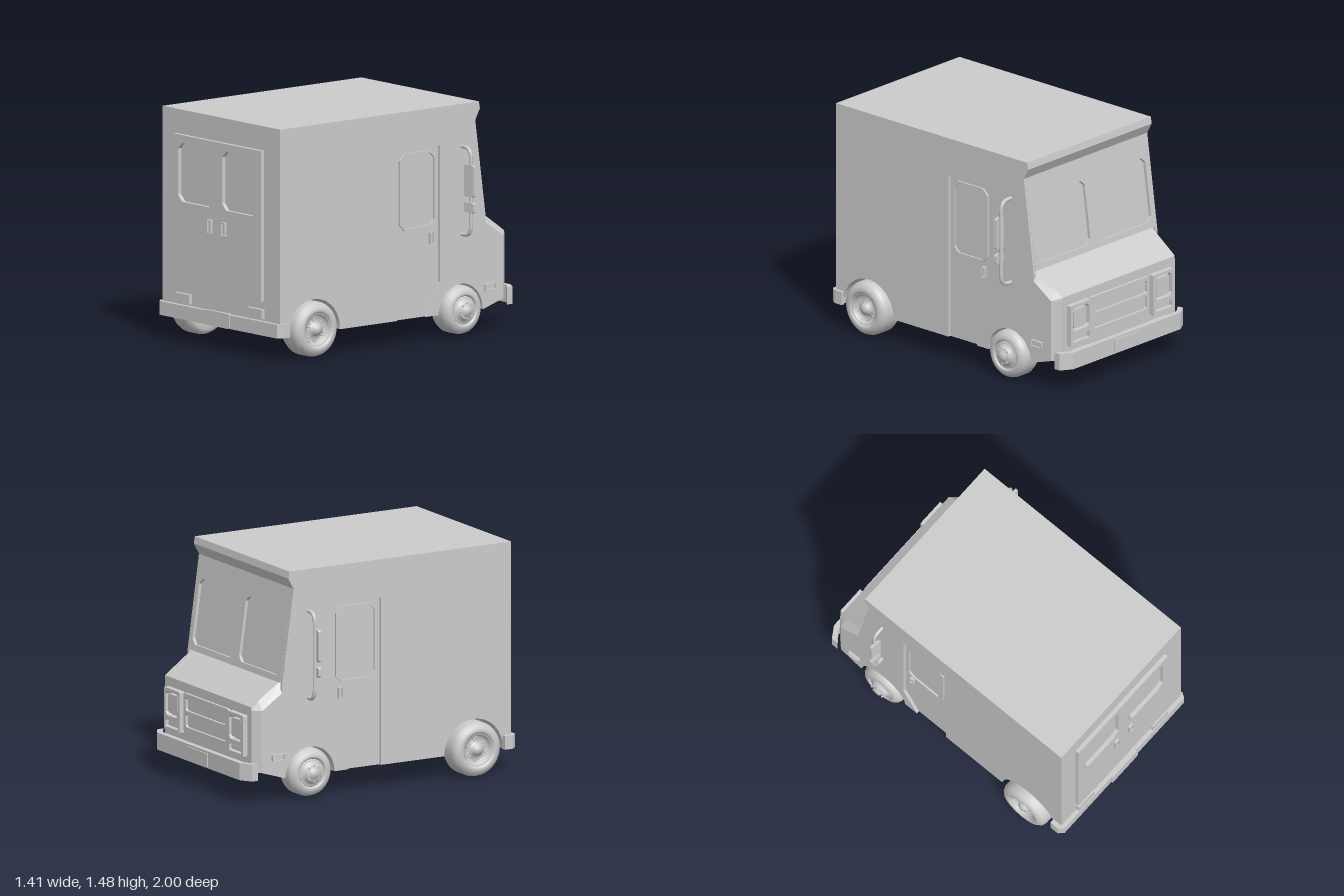
import * as THREE from 'three';

const grey = new THREE.MeshStandardMaterial({ color: 0xcccccc });
const W = 0.575; // half width of the body

function add(parent, name, geometry) {
  const mesh = new THREE.Mesh(geometry, grey);
  mesh.name = name;
  parent.add(mesh);
  return mesh;
}

function box(parent, name, x0, x1, y0, y1, z0, z1) {
  const g = new THREE.BoxGeometry(Math.abs(x1 - x0), Math.abs(y1 - y0), Math.abs(z1 - z0));
  return add(parent, name, g.translate((x0 + x1) / 2, (y0 + y1) / 2, (z0 + z1) / 2));
}

const poly = (pts) => new THREE.Shape(pts.map(([a, b]) => new THREE.Vector2(a, b)));

// Rectangle with cut corners
function cutRect(x0, x1, y0, y1, c) {
  return poly([[x0 + c, y0], [x1 - c, y0], [x1, y0 + c], [x1, y1 - c],
    [x1 - c, y1], [x0 + c, y1], [x0, y1 - c], [x0, y0 + c]]);
}

function extrude(shape, depth, holes = []) {
  shape.holes.push(...holes);
  return new THREE.ExtrudeGeometry(shape, { depth, bevelEnabled: false, curveSegments: 28 });
}

// Side profile in (z, y), spanning x0 to x1
const sideSlab = (shape, x0, x1, holes) =>
  extrude(shape, x1 - x0, holes).rotateY(-Math.PI / 2).translate(x1, 0, 0);

// Plan outline in (x, z), spanning y0 to y1
const planSlab = (shape, y0, y1) =>
  extrude(shape, y1 - y0).rotateX(Math.PI / 2).translate(0, y1, 0);

// Side profile with open wheel arches; optionally notched for the door
function bodyProfile(front, notch) {
  const s = new THREE.Shape();
  s.moveTo(0.955, 0.15);
  s.lineTo(0.955, 1.475);
  front.forEach(([z, y]) => s.lineTo(z, y));
  s.absarc(-0.52, 0.15, 0.18, Math.PI, 0, true);
  if (notch) [[-0.24, 0.15], [-0.35, 0.36], [-0.35, 1.23], [0, 1.23], [0, 0.15]].forEach(([z, y]) => s.lineTo(z, y));
  s.absarc(0.68, 0.15, 0.215, Math.PI, 0, true);
  s.closePath();
  return s;
}

// Sloped nose with bevelled sides, as a closed loft of three rings
function noseGeometry() {
  const ring = (w, wTop, z, y0, y1, y2, zTop = z) => [[-w, y0, z], [w, y0, z], [w, y1, z], [wTop, y2, zTop], [-wTop, y2, zTop], [-w, y1, z]];
  const rings = [
    ring(W, 0.53, -0.71, 0.15, 0.707, 0.767),
    ring(W, 0.526, -0.87, 0.2, 0.6, 0.655),
    ring(0.525, 0.522, -0.92, 0.2, 0.6, 0.62),
  ];
  const pos = [];
  const tri = (...p) => p.forEach((v) => pos.push(...v));
  for (let r = 0; r < 2; r++) {
    for (let i = 0; i < 6; i++) {
      const j = (i + 1) % 6, A = rings[r], B = rings[r + 1];
      tri(A[i], B[j], B[i], A[i], A[j], B[j]);
    }
  }
  for (let i = 1; i < 5; i++) tri(rings[2][0], rings[2][i + 1], rings[2][i]);
  for (let i = 1; i < 5; i++) tri(rings[0][0], rings[0][i], rings[0][i + 1]);
  // swap to outward-facing order
  for (let i = 0; i < pos.length; i += 9) {
    const n = new THREE.Triangle(new THREE.Vector3(...pos.slice(i, i + 3)), new THREE.Vector3(...pos.slice(i + 3, i + 6)), new THREE.Vector3(...pos.slice(i + 6, i + 9)));
    const m = n.getMidpoint(new THREE.Vector3()).sub(new THREE.Vector3(0, 0.4, -0.8));
    if (n.getNormal(new THREE.Vector3()).dot(m) < 0) {
      for (let k = 0; k < 3; k++) [pos[i + 3 + k], pos[i + 6 + k]] = [pos[i + 6 + k], pos[i + 3 + k]];
    }
  }
  const g = new THREE.BufferGeometry();
  g.setAttribute('position', new THREE.Float32BufferAttribute(pos, 3));
  g.computeVertexNormals();
  return g;
}

const lathe = (pts) => new THREE.LatheGeometry(pts.map(([r, y]) => new THREE.Vector2(r, y)), 40).rotateZ(-Math.PI / 2);

// Wheel with its outer face on +x; x = 0 is the outer sidewall
function wheel(name, R, rim, width, dished) {
  const g = new THREE.Group();
  g.name = name;
  add(g, 'tyre', lathe([[0, -width + 0.01], [rim, -width], [R - 0.035, -width], [R - 0.012, -width + 0.012], [R, -width + 0.04],
    [R, -0.05], [R - 0.008, -0.025], [R - 0.028, -0.006], [R - 0.05, 0], [rim + 0.005, -0.004], [rim, -0.015], [rim - 0.006, -0.03]]));
  const hubPts = dished
    ? [[rim, -0.012], [rim - 0.012, -0.012], [rim - 0.022, -0.05], [0.04, -0.035], [0.036, -0.012], [0.022, -0.01], [0.018, 0], [0, 0]]
    : [[rim, -0.012], [rim - 0.01, -0.004], [rim - 0.018, -0.01], [0.055, 0.012], [0.05, 0.018], [0.03, 0.018], [0.026, 0.034], [0, 0.036]];
  add(g, 'rim', lathe(hubPts));
  // Rim slots on the dished wheel, nuts on the other
  const n = dished ? 6 : 8;
  for (let i = 0; i < n; i++) {
    const a = (i / n) * Math.PI * 2, r = dished ? 0.062 : 0.05;
    const nut = dished
      ? new THREE.TorusGeometry(0.013, 0.004, 6, 12).scale(1, 1.3, 1).rotateY(Math.PI / 2)
      : new THREE.CylinderGeometry(0.006, 0.006, 0.016, 6).rotateZ(Math.PI / 2);
    nut.translate(dished ? -0.041 : 0.018, r, 0).rotateX(a);
    add(g, dished ? 'rimSlot' : 'wheelNut', nut);
  }
  return g;
}

export function createModel() {
  const model = new THREE.Group();
  model.name = 'stepVan';
  const body = new THREE.Group();
  body.name = 'body';
  body.position.x = -0.007;
  model.add(body);

  // Inner shell, outer side skins and nose
  const visor = [[-0.67, 1.475], [-0.678, 1.43], [-0.64, 1.36]];
  add(body, 'shell', sideSlab(bodyProfile([...visor, [-0.62, 1.36], [-0.704, 0.76], [-0.715, 0.7], [-0.715, 0.15]]), -W + 0.02, W - 0.02));
  for (const s of [-1, 1]) {
    const [a, b] = s > 0 ? [W - 0.02, W] : [-W, -W + 0.02];
    add(body, 'sideSkin', sideSlab(bodyProfile([...visor, [-0.725, 0.74], [-0.72, 0.15]], true), a, b));
  }
  add(body, 'nose', noseGeometry());

  // Leaning windscreen panel with two recessed panes
  const lean = Math.atan2(0.085, 0.6);
  const panes = [-1, 1].map((s) => cutRect(...(s < 0 ? [-0.53, -0.035] : [0.035, 0.53]), 0.04, 0.46, 0.035));
  add(body, 'windscreenFrame', extrude(poly([[-W + 0.02, 0], [W - 0.02, 0], [W - 0.02, 0.606], [-W + 0.02, 0.606]]), 0.022, panes)
    .rotateY(Math.PI).translate(0, 0, 0.022).rotateX(lean).translate(0, 0.76, -0.725));

  // Rear doors
  const rearPanes = [[-0.393, -0.053], [0.037, 0.372]].map(([a, b]) => cutRect(a, b, 0.895, 1.27, 0.04));
  add(body, 'rearDoors', extrude(poly([[-0.438, 0.36], [0.418, 0.36], [0.418, 1.32], [-0.438, 1.32]]), 0.028, rearPanes).translate(0, 0, 0.953));
  for (const x of [-0.078, 0.058]) {
    add(body, 'rearHandle', extrude(cutRect(x - 0.02, x + 0.02, 0.725, 0.82, 0.004), 0.016,
      [cutRect(x - 0.013, x + 0.013, 0.733, 0.812, 0.003)]).translate(0, 0, 0.98));
    box(body, 'rearHandleGrip', x - 0.008, x + 0.008, 0.735, 0.81, 0.975, 0.99);
  }

  // Rear lamps, bumper and plate
  for (const x of [-0.36, 0.35]) box(body, 'rearLamp', x - 0.073, x + 0.073, 0.25, 0.31, 0.95, 0.98);
  add(body, 'rearBumper', planSlab(poly([[-0.605, 0.89], [-0.605, 0.95], [-0.575, 0.982], [0.575, 0.982], [0.595, 0.95], [0.595, 0.89],
    [0.57, 0.89], [0.57, 0.945], [-0.57, 0.945], [-0.57, 0.89]]), 0.147, 0.235));
  add(body, 'rearPlate', extrude(cutRect(-0.128, 0.118, 0.147, 0.243, 0.008), 0.02).translate(0, 0, 0.972));

  // Front bumper, plate and brackets
  add(body, 'frontBumper', planSlab(poly([[-0.575, -0.945], [-0.5, -0.992], [0.5, -0.992], [0.575, -0.945],
    [0.575, -0.9], [0.5, -0.955], [-0.5, -0.955], [-0.575, -0.9]]), 0.155, 0.265));
  box(body, 'frontPlate', -0.12, 0.12, 0.165, 0.25, -1.0, -0.985);
  for (const s of [-1, 1]) box(body, 'bumperBracket', s * 0.29, s * 0.44, 0.2, 0.25, -0.96, -0.9);

  // Grille and headlights
  const slots = [[0.345, 0.43], [0.45, 0.535]].map(([a, b]) => cutRect(-0.245, 0.245, a, b, 0.012));
  add(body, 'grille', extrude(cutRect(-0.27, 0.27, 0.32, 0.56, 0.005), 0.022, slots).translate(0, 0, -0.938));
  for (const s of [-1, 1]) {
    const x = s * 0.385;
    add(body, 'headlightFrame', extrude(cutRect(x - 0.095, x + 0.095, 0.29, 0.56, 0.005), 0.04,
      [cutRect(x - 0.075, x + 0.075, 0.385, 0.54, 0.02), cutRect(x - 0.075, x + 0.075, 0.31, 0.355, 0.006)]).translate(0, 0, -0.955));
    add(body, 'headlight', extrude(cutRect(x - 0.058, x + 0.058, 0.402, 0.523, 0.012), 0.03).translate(0, 0, -0.945));
    box(body, 'turnSignal', x - 0.065, x + 0.065, 0.318, 0.347, -0.94, -0.915);
  }

  // Recessed side doors with windows, handles and marker lamps
  for (const s of [-1, 1]) {
    const slab = (shape, from, to, holes) => sideSlab(shape, Math.min(s * from, s * to), Math.max(s * from, s * to), holes);
    const frame = cutRect(-0.325, -0.03, 0.715, 1.205, 0.04);
    add(body, 'doorWindowFrame', slab(frame, W - 0.021, W - 0.008, [cutRect(-0.312, -0.043, 0.728, 1.192, 0.036)]));
    add(body, 'doorHandle', slab(cutRect(-0.306, -0.274, 0.61, 0.685, 0.004), W - 0.021, W - 0.002, [cutRect(-0.3, -0.28, 0.617, 0.678, 0.003)]));
    box(body, 'doorHandleGrip', s * (W - 0.03), s * (W - 0.008), 0.62, 0.675, -0.296, -0.284);
    add(body, 'sideMarker', slab(cutRect(-0.8, -0.71, 0.265, 0.31, 0.004), W - 0.005, W + 0.016, [cutRect(-0.793, -0.717, 0.272, 0.303, 0.003)]));
    box(body, 'sideMarkerLens', s * (W - 0.005), s * (W + 0.01), 0.274, 0.301, -0.79, -0.72);
  }

  // Mirror bars with a tall and a small mirror
  for (const s of [-1, 1]) {
    const v = (x, y) => new THREE.Vector3(s * x, y, -0.53);
    const path = new THREE.CurvePath();
    path.add(new THREE.LineCurve3(v(0.55, 0.645), v(0.595, 0.645)));
    path.add(new THREE.QuadraticBezierCurve3(v(0.595, 0.645), v(0.657, 0.645), v(0.657, 0.71)));
    path.add(new THREE.LineCurve3(v(0.657, 0.71), v(0.657, 1.14)));
    path.add(new THREE.QuadraticBezierCurve3(v(0.657, 1.14), v(0.657, 1.205), v(0.595, 1.205)));
    path.add(new THREE.LineCurve3(v(0.595, 1.205), v(0.55, 1.205)));
    add(model, 'mirrorBar', new THREE.TubeGeometry(path, 70, 0.0125, 10));
    for (const [name, y0, y1] of [['mirror', 0.895, 1.1], ['smallMirror', 0.795, 0.86]]) {
      const g = extrude(cutRect(-0.041, 0.041, y0, y1, 0.01), 0.018).translate(0, 0, -0.009).rotateY(s * 0.12);
      add(model, name, g.translate(s * 0.662, 0, -0.516));
    }
  }

  // Wheels
  for (const s of [-1, 1]) {
    const rear = wheel('rearWheel', 0.175, 0.105, 0.18, true);
    rear.position.set(s * 0.633 - 0.015, 0.175, 0.68);
    const front = wheel('frontWheel', 0.155, 0.09, 0.17, false);
    front.position.set(s * 0.614, 0.165, -0.52);
    for (const w of [rear, front]) {
      if (s < 0) w.rotation.y = Math.PI;
      model.add(w);
    }
  }
  return model;
}
